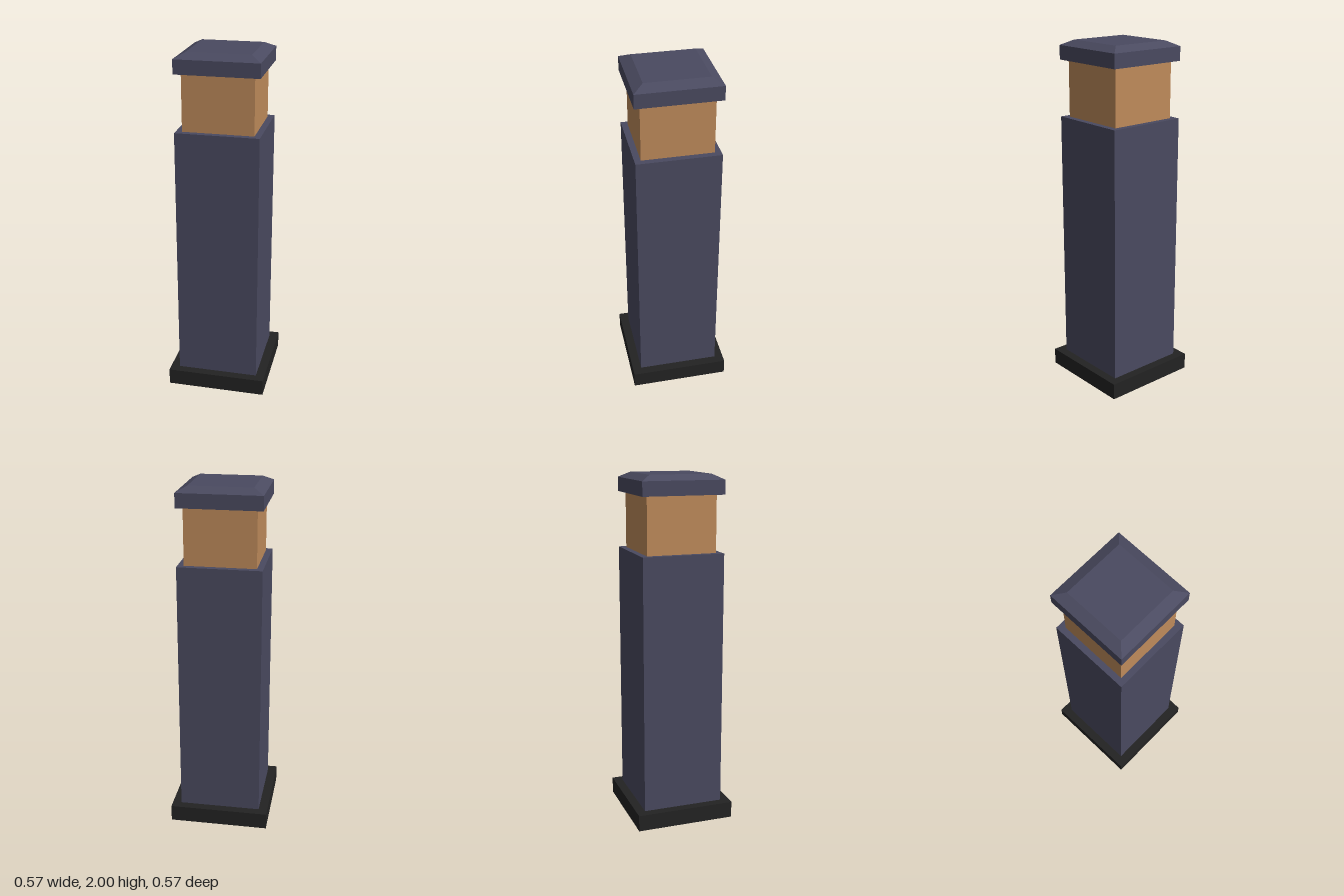
import * as THREE from 'three';

const paint = (name, color) => {
  const m = new THREE.MeshStandardMaterial({ color, side: THREE.DoubleSide });
  m.name = name;
  return m;
};

// Square, flat-sided shell swept from a profile of [half width, height] pairs, bottom to top
function squareShell(name, profile, material) {
  const points = profile.map(([half, y]) => new THREE.Vector2(half * Math.SQRT2, y));
  const geometry = new THREE.LatheGeometry(points, 4, Math.PI / 4).toNonIndexed();
  geometry.computeVertexNormals();
  const mesh = new THREE.Mesh(geometry, material);
  mesh.name = name;
  return mesh;
}

export function createModel() {
  const slate = paint('slate', 0x4a4a60);
  const amber = paint('amber', 0xbf8b5b);
  const black = paint('black', 0x232323);

  const base = 0.286, post = 0.235, lamp = 0.2, crown = 0.177;
  const group = new THREE.Group();
  group.name = 'bollardLight';

  group.add(
    // Hollow foot, open below, with a ledge around the post
    squareShell('foot', [[base, 0], [base, 0.095], [post, 0.095]], black),
    // Hollow post with a ledge around the lamp
    squareShell('post', [[post, 0.095], [post, 1.57], [lamp, 1.57]], slate),
    // Lamp band
    squareShell('lamp', [[lamp, 1.57], [lamp, 1.89]], amber),
    // Overhanging cap with a bevelled, flat top
    squareShell('cap', [[lamp, 1.89], [post, 1.89], [post, 1.97], [crown, 2], [0, 2]], slate)
  );
  return group;
}
